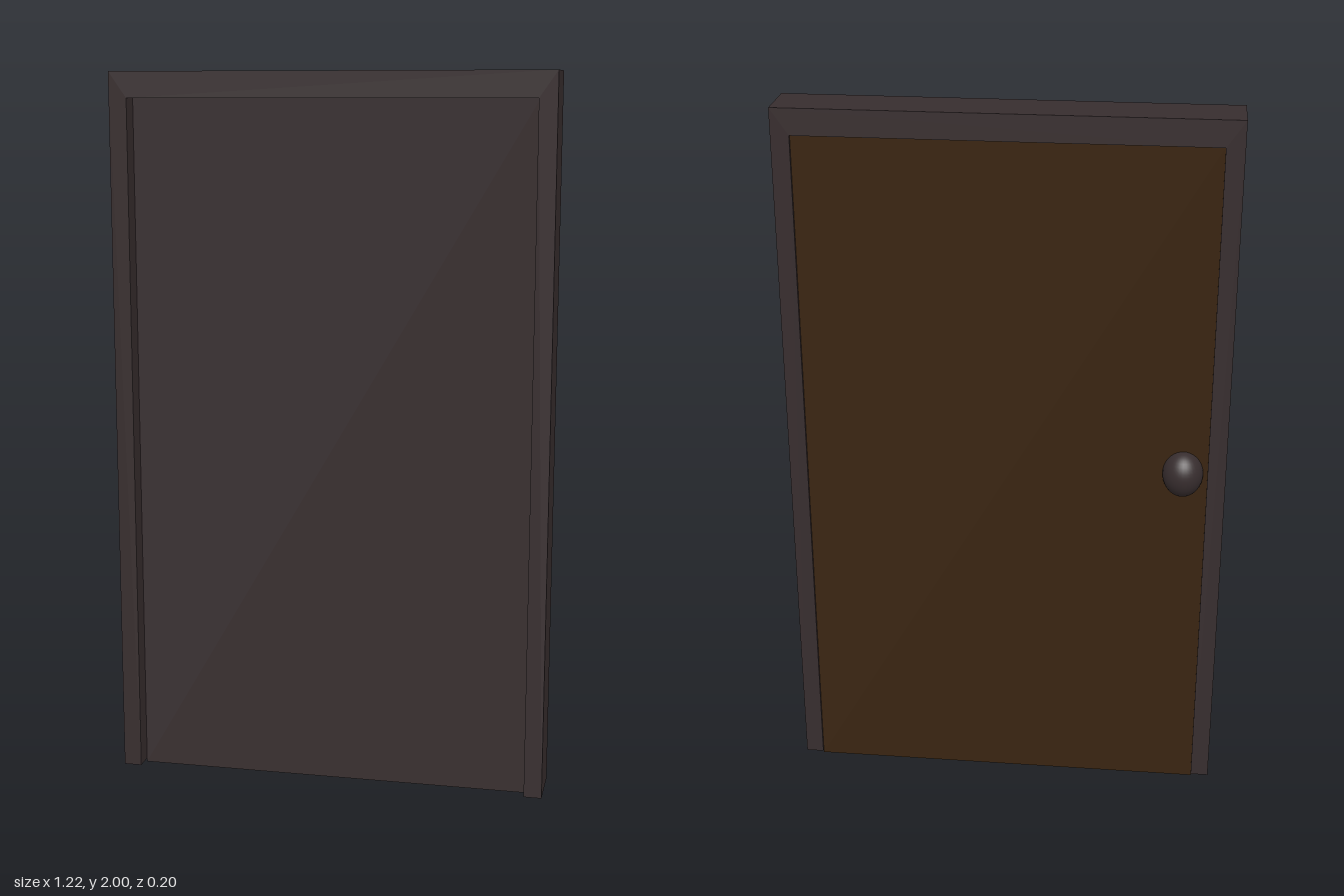
import * as THREE from 'three';

export function createModel() {
  const model = new THREE.Group();
  model.name = 'door';

  const dark = new THREE.MeshStandardMaterial({ name: 'darkTrim', color: 0x372d2e });
  const brown = new THREE.MeshStandardMaterial({ name: 'brownWood', color: 0x392410 });

  const add = (name, geometry, material) => {
    const mesh = new THREE.Mesh(geometry, material);
    mesh.name = name;
    model.add(mesh);
    return mesh;
  };

  // Frame: two jambs and a lintel as one extruded arch, slightly off the floor
  const [outer, inner, base, lintel, back, front] = [0.61, 0.56, 0.01, 1.928, -0.053, 0.1];
  const arch = new THREE.Shape([
    [-outer, base], [-inner, base], [-inner, lintel], [inner, lintel],
    [inner, base], [outer, base], [outer, 2], [-outer, 2],
  ].map(([x, y]) => new THREE.Vector2(x, y)));
  const frame = new THREE.ExtrudeGeometry(arch, { depth: front - back, bevelEnabled: false });
  add('frame', frame.translate(0, 0, back), dark);

  // Door slab with only its back face in wood
  const slab = new THREE.BoxGeometry(inner * 2, lintel, 0.09);
  add('doorSlab', slab, [dark, dark, dark, dark, dark, brown]).position.set(0, lintel / 2, 0);

  // Knob on the back, slightly taller than wide
  const knob = add('knob', new THREE.SphereGeometry(1, 32, 20), dark);
  knob.scale.set(0.056, 0.066, 0.056);
  knob.position.set(-0.492, 1.008, -0.045);

  return model;
}
